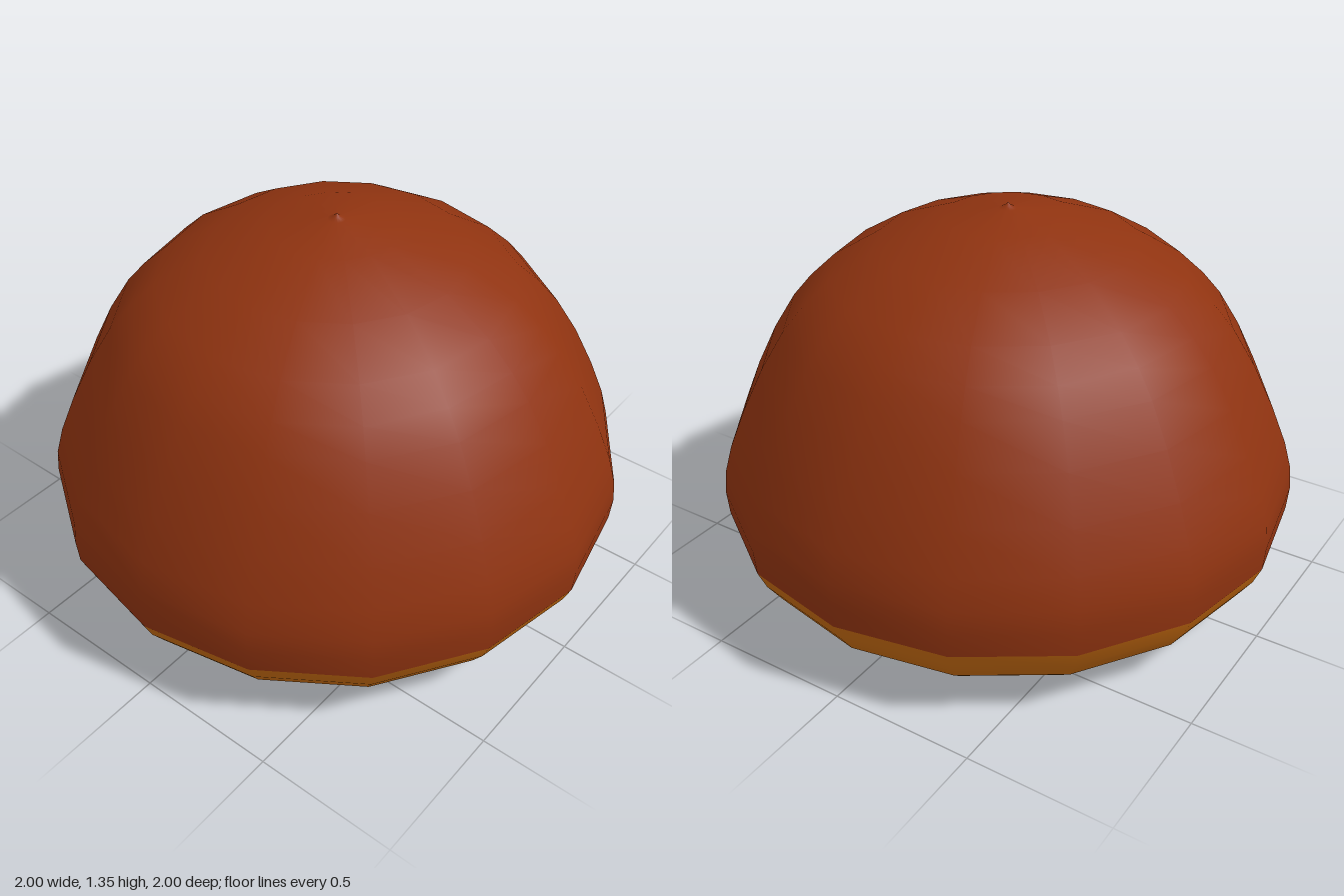
import * as THREE from 'three';

const SIDES = 16;

// Revolve a bottom-to-top [radius, height] profile around y
function revolve(name, profile, material) {
  const points = profile.map(([r, y]) => new THREE.Vector2(r, y));
  const mesh = new THREE.Mesh(new THREE.LatheGeometry(points, SIDES), material);
  mesh.name = name;
  return mesh;
}

export function createModel() {
  const group = new THREE.Group();
  group.name = 'chestnut';

  const shellBrown = new THREE.MeshStandardMaterial({ color: 0x8f3310 });
  shellBrown.name = 'shellBrown';
  const baseTan = new THREE.MeshStandardMaterial({ color: 0xc66a10 });
  baseTan.name = 'baseTan';

  // Pale, slightly bulging underside
  group.add(revolve('base', [
    [0, 0], [0.31, 0.008], [0.71, 0.028], [0.826, 0.06],
    [0.914, 0.136], [0.965, 0.21], [0.993, 0.275],
  ], baseTan));

  // Domed shell ending in a tiny pointed tip
  group.add(revolve('shell', [
    [0.993, 0.275], [1, 0.36], [0.993, 0.44], [0.965, 0.54], [0.91, 0.675],
    [0.837, 0.825], [0.757, 0.955], [0.69, 1.035], [0.6, 1.12], [0.435, 1.22],
    [0.213, 1.303], [0.03, 1.328], [0.012, 1.336], [0, 1.347],
  ], shellBrown));

  return group;
}
